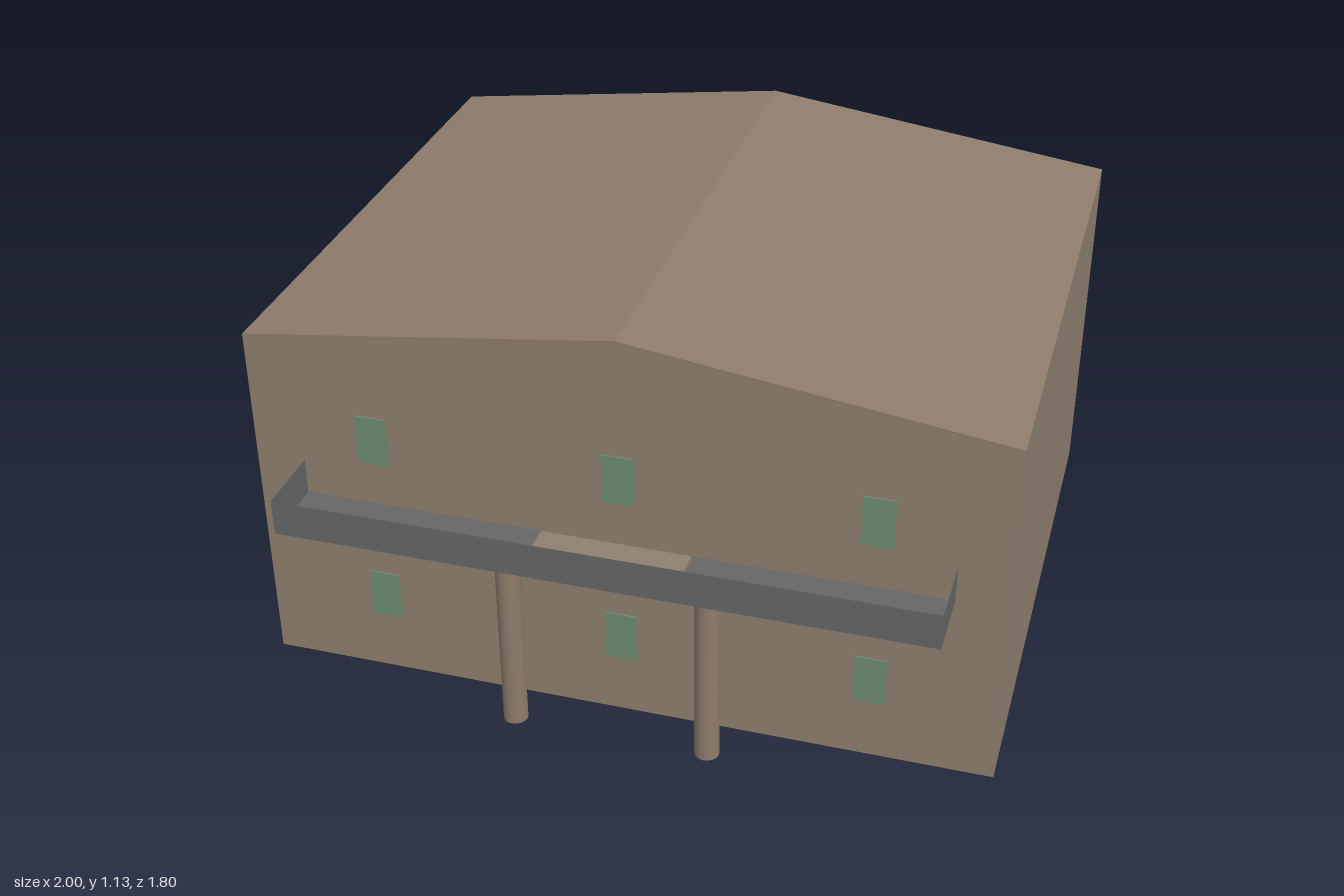
import * as THREE from 'three';

const mat = (name, color, extra = {}) => {
  const m = new THREE.MeshStandardMaterial({ color, ...extra });
  m.name = name;
  return m;
};

export function createModel() {
  const wall = mat('tan wall', 0x8d7f6e);
  const roofTan = mat('warm tan', 0x8e7c6c);
  const grey = mat('grey', 0x666666, { side: THREE.DoubleSide });
  const green = mat('green glass', 0x6b8c70);

  const model = new THREE.Group();
  model.name = 'house';
  const add = (name, geometry, material, x = 0, y = 0, z = 0, parent = model) => {
    const mesh = new THREE.Mesh(geometry, material);
    mesh.name = name;
    mesh.position.set(x, y, z);
    parent.add(mesh);
    return mesh;
  };

  // House body and thin roof skin, both extruded from back to front
  const eave = 1, ridge = 1.135, skin = 0.006, back = -0.9, depth = 1.6;
  const extrude = (points) => new THREE.ExtrudeGeometry(
    new THREE.Shape(points.map(([x, y]) => new THREE.Vector2(x, y))),
    { depth, bevelEnabled: false });
  add('walls', extrude([[-1, 0], [1, 0], [1, eave - skin], [0, ridge - skin], [-1, eave - skin]]),
    wall, 0, 0, back);
  add('roof', extrude([[-1, eave - skin], [0, ridge - skin], [1, eave - skin],
    [1, eave], [0, ridge], [-1, eave]]), roofTan, 0, 0, back);

  // Two rows of three small windows
  for (const y of [0.245, 0.735]) {
    for (const x of [-0.665, 0, 0.665]) {
      add('window', new THREE.BoxGeometry(0.084, 0.14, 0.006), green, x, y, 0.701);
    }
  }

  // Balcony: sheet floor with a solid railing on three sides
  const balcony = new THREE.Group();
  balcony.name = 'balcony';
  model.add(balcony);
  const halfW = 0.865, low = 0.54, h = 0.1, out = 0.2, midZ = 0.8;
  add('balconyFloor', new THREE.PlaneGeometry(halfW * 2, out), grey, 0, low, midZ, balcony)
    .rotation.x = -Math.PI / 2;
  add('frontRailing', new THREE.PlaneGeometry(halfW * 2, h), grey, 0, low + h / 2, 0.9, balcony);
  for (const s of [-1, 1]) {
    add('sideRailing', new THREE.PlaneGeometry(out, h), grey, s * halfW, low + h / 2, midZ, balcony)
      .rotation.y = s * Math.PI / 2;
    // Round post under the balcony
    add('post', new THREE.CylinderGeometry(0.033, 0.033, low, 24), roofTan, s * 0.265, low / 2, 0.81);
  }
  // Low slab lying on the balcony floor
  add('floorSlab', new THREE.BoxGeometry(0.4, 0.02, 0.155), wall, 0, low + 0.011, 0.806, balcony);

  return model;
}
